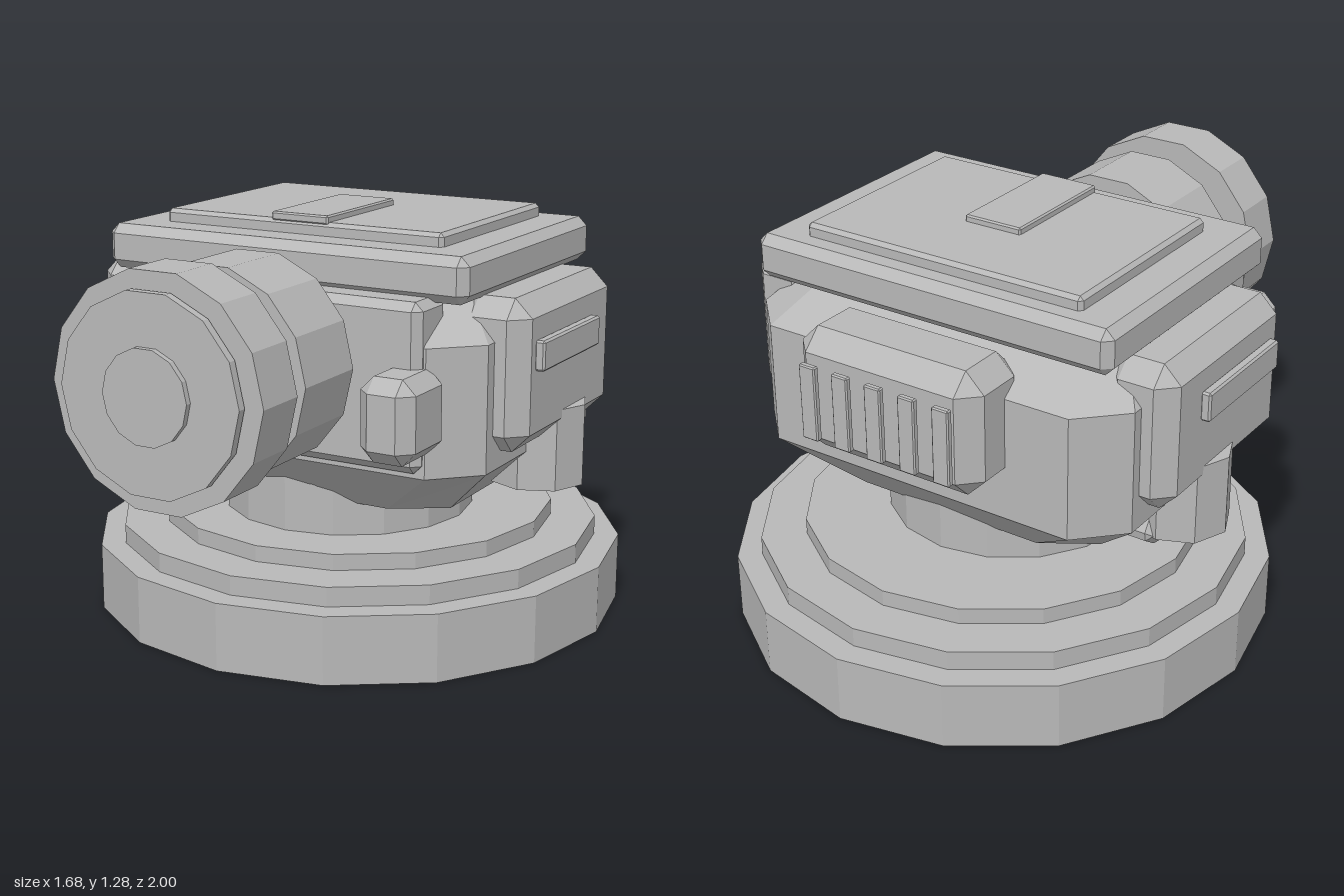
import * as THREE from 'three';
import { ConvexGeometry } from 'three/addons/geometries/ConvexGeometry.js';

export function createModel() {
  const group = new THREE.Group();
  const grey = new THREE.MeshStandardMaterial({ color: 0xb8b8b8, flatShading: true });
  grey.name = 'plain grey';

  function add(name, geometry) {
    const mesh = new THREE.Mesh(geometry, grey);
    mesh.name = name;
    group.add(mesh);
    return mesh;
  }

  // Box given by its limits, with every edge bevelled by c
  function bevelBox(name, x0, x1, y0, y1, z0, z1, c) {
    const half = [(x1 - x0) / 2, (y1 - y0) / 2, (z1 - z0) / 2];
    const points = [];
    for (const sx of [-1, 1]) for (const sy of [-1, 1]) for (const sz of [-1, 1]) {
      for (let full = 0; full < 3; full++) {
        const p = half.map((h, i) => (i === full ? h : h - c));
        points.push(new THREE.Vector3(sx * p[0], sy * p[1], sz * p[2]));
      }
    }
    const mesh = add(name, new ConvexGeometry(points));
    mesh.position.set((x0 + x1) / 2, (y0 + y1) / 2, (z0 + z1) / 2);
    return mesh;
  }

  // Upright faceted disc
  function disc(name, r, y0, y1, x, z, sides) {
    const mesh = add(name, new THREE.CylinderGeometry(r, r, y1 - y0, sides));
    mesh.position.set(x, (y0 + y1) / 2, z);
    return mesh;
  }

  // Stepped round base and swivel neck
  disc('base', 0.84, 0, 0.21, 0, -0.16, 16);
  disc('baseMiddleStep', 0.763, 0.21, 0.27, 0, -0.16, 16);
  disc('baseTopStep', 0.622, 0.27, 0.32, 0, -0.16, 16);
  disc('neck', 0.395, 0.32, 0.5, 0, -0.1, 16);

  // Body: cut-corner outline lofted upwards, with a notch below the lens
  function ring(y, x, front, back, cx, cz, notch = 0) {
    const f = (px, lift = 0) => [px, y + lift, front + lift];
    return [
      [-x, y, front - cz], f(-x + cx), f(-0.21), f(-0.09, notch),
      f(0.09, notch), f(0.21), f(x - cx), [x, y, front - cz],
      [x, y, back + cz], [x - cx, y, back], [-x + cx, y, back], [-x, y, back + cz],
    ];
  }
  const rings = [
    ring(0.42, 0.475, 0.225, -0.45, 0.16, 0.1, 0.055),
    ring(0.585, 0.652, 0.39, -0.608, 0.13, 0.13),
    ring(0.965, 0.652, 0.39, -0.608, 0.13, 0.13),
    ring(1.09, 0.54, 0.27, -0.45, 0.11, 0.11),
  ];
  const verts = [];
  const n = rings[0].length;
  for (let j = 0; j < n; j++) {
    const k = (j + 1) % n;
    for (let i = 0; i < rings.length - 1; i++) {
      const a = rings[i][j], b = rings[i][k], c = rings[i + 1][k], d = rings[i + 1][j];
      verts.push(...a, ...b, ...c, ...a, ...c, ...d);
    }
    verts.push(0, 0.42, -0.1, ...rings[0][k], ...rings[0][j]);
    verts.push(0, 1.09, -0.1, ...rings[3][j], ...rings[3][k]);
  }
  const bodyGeometry = new THREE.BufferGeometry();
  bodyGeometry.setAttribute('position', new THREE.Float32BufferAttribute(verts, 3));
  bodyGeometry.computeVertexNormals();
  add('body', bodyGeometry);

  // Front panel and lid plates
  bevelBox('frontPanel', -0.515, 0.515, 0.6, 1.095, 0.25, 0.42, 0.025);
  bevelBox('lid', -0.612, 0.612, 1.08, 1.217, -0.553, 0.333, 0.028);
  bevelBox('lidPlate', -0.475, 0.475, 1.2, 1.257, -0.475, 0.205, 0.012);
  bevelBox('lidBadge', -0.097, 0.097, 1.25, 1.277, -0.208, 0.203, 0.005);

  // Rear box with vent fins
  bevelBox('rearBox', -0.315, 0.315, 0.69, 1.075, -0.762, -0.5, 0.06);
  for (let i = -2; i <= 2; i++) {
    const x = i * 0.115;
    bevelBox('ventFin', x - 0.028, x + 0.028, 0.755, 0.99, -0.793, -0.772, 0.004);
  }

  // Mirrored side parts
  for (const s of [-1, 1]) {
    const sideBox = (name, x0, x1, ...rest) =>
      bevelBox(name, Math.min(s * x0, s * x1), Math.max(s * x0, s * x1), ...rest);
    sideBox('sidePod', 0.52, 0.742, 0.635, 1.086, -0.445, 0.22, 0.055);
    sideBox('sideBar', 0.738, 0.77, 0.875, 0.965, -0.272, 0.138, 0.006);
    sideBox('frontLamp', 0.392, 0.565, 0.66, 0.907, 0.33, 0.57, 0.042);
    disc('sidePost', 0.148, 0.465, 0.715, s * 0.63, -0.155, 8);
    const strut = bevelBox('postStrut', -0.06, 0.06, -0.06, 0.06, -0.05, 0.05, 0.02);
    strut.position.set(s * 0.56, 0.485, -0.25);
    strut.rotation.x = 0.6;
  }

  // Lens: stacked faceted drums along z
  const lens = [
    ['lensMount', 0.22, 0.3, 0.44],
    ['lensBarrel', 0.316, 0.435, 0.695],
    ['lensWaist', 0.222, 0.69, 0.785],
    ['lensRing', 0.342, 0.78, 0.948],
    ['lensFrontGap', 0.25, 0.94, 0.96],
    ['lensFrontPlate', 0.289, 0.956, 0.982],
    ['lensGlass', 0.137, 0.98, 1.0],
  ];
  for (const [name, r, z0, z1] of lens) {
    const geometry = new THREE.CylinderGeometry(r, r, z1 - z0, 14, 1, false, Math.PI / 2);
    const mesh = add(name, geometry.rotateX(Math.PI / 2));
    mesh.position.set(0, 0.893, (z0 + z1) / 2);
  }

  return group;
}
